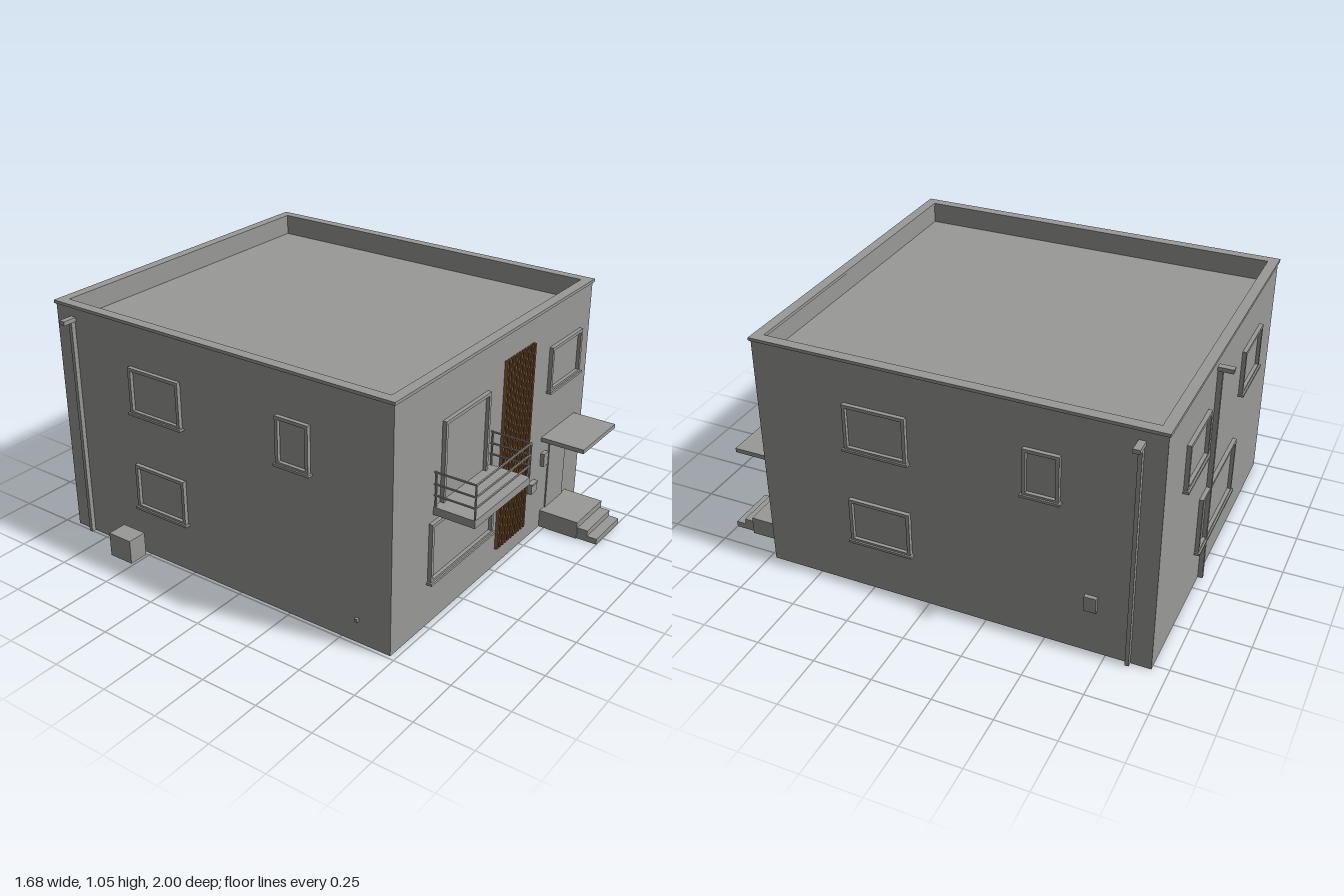
import * as THREE from 'three';

const wallGrey = new THREE.MeshStandardMaterial({ color: 0x999997 });
wallGrey.name = 'plaster grey';
wallGrey.side = THREE.DoubleSide;
const wood = new THREE.MeshStandardMaterial({ color: 0x8a5f38 });
wood.name = 'wood brown';

// Box given by its min and max on each axis
function box(parent, name, x0, x1, y0, y1, z0, z1, mat = wallGrey) {
  const m = new THREE.Mesh(new THREE.BoxGeometry(x1 - x0, y1 - y0, z1 - z0), mat);
  m.position.set((x0 + x1) / 2, (y0 + y1) / 2, (z0 + z1) / 2);
  m.name = name;
  parent.add(m);
  return m;
}

function rectPath(target, x0, x1, y0, y1) {
  target.moveTo(x0, y0);
  target.lineTo(x1, y0);
  target.lineTo(x1, y1);
  target.lineTo(x0, y1);
  target.closePath();
  return target;
}

// Rectangle with a rectangular hole, extruded along z
function frameGeometry([x0, x1, y0, y1], [a0, a1, b0, b1], depth) {
  const shape = rectPath(new THREE.Shape(), x0, x1, y0, y1);
  shape.holes.push(rectPath(new THREE.Path(), a0, a1, b0, b1));
  return new THREE.ExtrudeGeometry(shape, { depth, bevelEnabled: false });
}

// House footprint: x and z limits of the outer wall faces
const X0 = -0.735, X1 = 0.773, Z0 = -0.935, Z1 = 0.725;

// Horizontal ring around the footprint, from offset outwards to inset inwards
function ring(parent, name, out, inset, y0, y1) {
  const g = frameGeometry(
    [X0 - out, X1 + out, -Z1 - out, -Z0 + out],
    [X0 + inset, X1 - inset, -Z1 + inset, -Z0 - inset], y1 - y0);
  g.rotateX(-Math.PI / 2);
  const m = new THREE.Mesh(g, wallGrey);
  m.position.y = y0;
  m.name = name;
  parent.add(m);
}

// Window in a wall frame: x along the wall, z outwards
function addWindow(wall, x0, x1, y0, y1, sill = true) {
  const w = new THREE.Group();
  w.name = 'window';
  const t = 0.014;
  const frame = new THREE.Mesh(
    frameGeometry([x0, x1, y0, y1], [x0 + t, x1 - t, y0 + t, y1 - t], 0.017), wallGrey);
  frame.name = 'windowFrame';
  w.add(frame);
  box(w, 'windowPane', x0 + t, x1 - t, y0 + t, y1 - t, -0.006, 0.002);
  if (sill) box(w, 'windowSill', x0 - 0.007, x1 + 0.007, y0 - 0.006, y0 + 0.005, 0, 0.024);
  wall.add(w);
}

// Roof spout with its downpipe
function addDownpipe(wall, x) {
  box(wall, 'roofSpout', x - 0.014, x + 0.014, 0.982, 1.0, 0, 0.063);
  box(wall, 'downpipe', x - 0.008, x + 0.008, 0, 0.984, 0, 0.02);
}

function addWall(parent, name, x, z, angle) {
  const g = new THREE.Group();
  g.name = name;
  g.position.set(x, 0, z);
  g.rotation.y = angle;
  parent.add(g);
  return g;
}

function addBalcony(wall) {
  const b = new THREE.Group();
  b.name = 'balcony';
  const x0 = -0.462, x1 = -0.045, d = 0.18, r = 0.006;
  box(b, 'balconySlab', x0, x1, 0.482, 0.515, -0.03, d);
  for (const x of [x0, x1 - r]) {
    for (const z of [0.005, d - r]) box(b, 'railPost', x, x + r, 0.515, 0.665, z, z + r);
    for (const y of [0.562, 0.609, 0.659]) box(b, 'sideRail', x, x + r, y, y + r, 0, d);
  }
  for (const y of [0.562, 0.609, 0.659]) box(b, 'frontRail', x0, x1, y, y + r, d - r, d);
  wall.add(b);
}

export function createModel() {
  const house = new THREE.Group();
  house.name = 'house';

  // Shell, open below, with parapet, coping and flat roof
  ring(house, 'outerWalls', 0, 0.004, 0, 1.04);
  ring(house, 'parapet', 0, 0.034, 0.955, 1.04);
  ring(house, 'coping', 0.007, 0.037, 1.04, 1.053);
  box(house, 'roofDeck', X0 + 0.003, X1 - 0.003, 0.945, 0.96, Z0 + 0.003, Z1 - 0.003);

  const front = addWall(house, 'frontWall', 0, Z1, 0);
  const back = addWall(house, 'backWall', 0, Z0, Math.PI);
  const left = addWall(house, 'leftWall', X1, 0, Math.PI / 2);
  const right = addWall(house, 'rightWall', X0, 0, -Math.PI / 2);

  // Front windows and balcony
  addWindow(front, 0.413, 0.683, 0.66, 0.86);
  addWindow(front, -0.488, -0.018, 0.194, 0.453);
  addWindow(front, -0.416, -0.09, 0.5, 0.853, false);
  addBalcony(front);

  // Wooden slat screen
  const slats = new THREE.Group();
  slats.name = 'slatScreen';
  for (let i = 0; i < 11; i++) {
    const x = 0.033 + i * 0.0222;
    box(slats, 'slat', x, x + 0.01, 0.083, 0.932, 0, 0.014, wood);
  }
  front.add(slats);

  // Entrance: door, canopy, lamps, letter box and steps
  box(front, 'frontDoor', 0.47, 0.625, 0.078, 0.397, -0.006, 0.006);
  box(front, 'doorCanopy', 0.395, 0.697, 0.433, 0.452, 0, 0.198);
  for (const x of [0.4, 0.657]) box(front, 'wallLamp', x, x + 0.038, 0.314, 0.374, 0, 0.018);
  box(front, 'letterBox', 0.298, 0.343, 0.224, 0.266, 0, 0.02);
  box(front, 'letterBoxLid', 0.294, 0.347, 0.266, 0.273, 0, 0.024);
  box(front, 'entrancePlatform', 0.43, 0.667, 0, 0.08, 0, 0.183);
  box(front, 'upperStep', 0.437, 0.655, 0, 0.052, 0.183, 0.23);
  box(front, 'lowerStep', 0.437, 0.655, 0, 0.026, 0.23, 0.275);

  // Back wall (x runs the other way here)
  addWindow(back, 0.225, 0.495, 0.66, 0.86);
  addWindow(back, -0.53, -0.26, 0.66, 0.86);
  addWindow(back, -0.27, 0.215, 0.194, 0.453);
  addDownpipe(back, -0.167);

  // Left wall (x runs towards the back)
  addWindow(left, -0.335, -0.068, 0.658, 0.86);
  addWindow(left, -0.335, -0.068, 0.224, 0.424);
  addWindow(left, 0.405, 0.55, 0.658, 0.86);
  addDownpipe(left, 0.843);
  box(left, 'meterBox', 0.66, 0.71, 0.205, 0.272, 0, 0.017);

  // Right wall (x runs towards the front)
  addWindow(right, -0.538, -0.272, 0.658, 0.86);
  addWindow(right, -0.538, -0.272, 0.224, 0.424);
  addWindow(right, 0.208, 0.362, 0.658, 0.86);
  addDownpipe(right, -0.843);
  box(right, 'gardenTap', 0.568, 0.582, 0.098, 0.112, 0, 0.012);
  box(right, 'outdoorUnit', -0.63, -0.512, 0, 0.108, 0.02, 0.107);

  return house;
}
